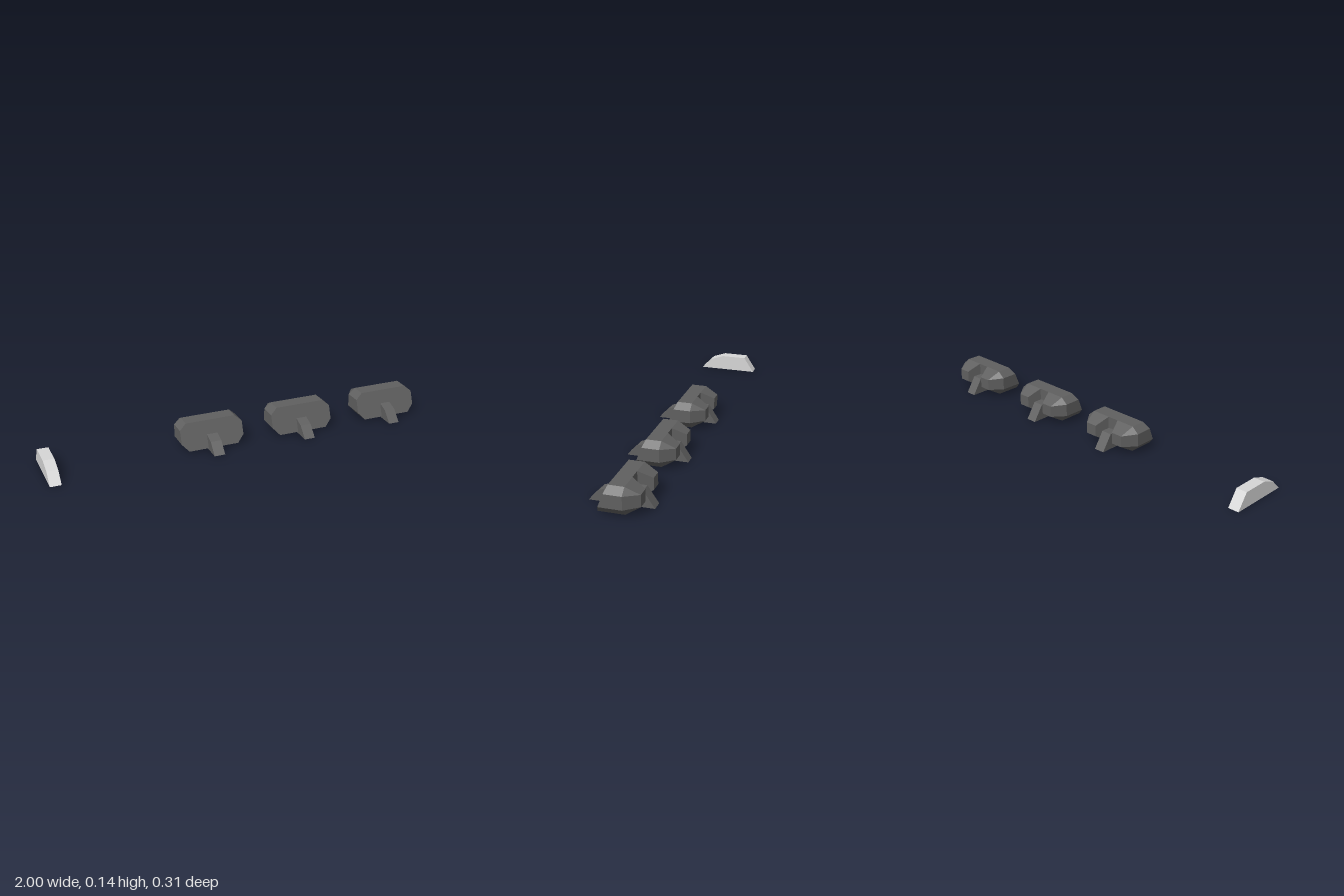
import * as THREE from 'three';

// Flat-shaded geometry from convex polygons, fan triangulated
function fromPolygons(polys) {
  const pos = [];
  for (const p of polys) {
    for (let i = 1; i < p.length - 1; i++) pos.push(...p[0], ...p[i], ...p[i + 1]);
  }
  const g = new THREE.BufferGeometry();
  g.setAttribute('position', new THREE.Float32BufferAttribute(pos, 3));
  g.computeVertexNormals();
  return g;
}

const mirrored = (poly) => poly.map(([x, y, z]) => [-x, y, z]).reverse();

// Low rail with sloped ends, open underneath
function railGeometry() {
  const w = 0.028;
  const profile = [[0.153, 0], [0.1, 0.055], [0.03, 0.08], [-0.1, 0.08], [-0.153, 0]];
  const side = profile.map(([z, y]) => [w, y, z]).reverse();
  const polys = [side, mirrored(side)];
  for (let i = 0; i < profile.length - 1; i++) {
    const [z0, y0] = profile[i], [z1, y1] = profile[i + 1];
    polys.push([[-w, y0, z0], [w, y0, z0], [w, y1, z1], [-w, y1, z1]]);
  }
  return fromPolygons(polys);
}

// Chamfered block: raked front, two tapered lobes at the back
function housingGeometry() {
  const section = [[0, 0.14], [0.03, 0.14], [0.13, 0.14], [0.165, 0.11],
    [0.165, 0.045], [0.13, 0.008], [0.03, 0.008], [0, 0.008]];
  const lobeEnd = [null, [0.055, 0.105], [0.115, 0.105], [0.115, 0.105],
    [0.115, 0.047], [0.115, 0.047], [0.055, 0.047]];
  const front = section.map(([x, y]) => [x, y, 0.076 - 0.386 * y]);
  const mid = section.map(([x, y]) => [x, y, -0.053]);
  const back = lobeEnd.map((p) => p && [...p, -0.12]);

  const half = [[...front].reverse()];
  for (let i = 0; i < 7; i++) half.push([front[i], front[i + 1], mid[i + 1], mid[i]]);
  // lobe walls, including the inner wall of the notch
  for (let i = 1; i <= 6; i++) {
    const j = i === 6 ? 1 : i + 1;
    const poly = [mid[i], mid[j], back[j]];
    if (i !== 2 && i !== 4) poly.push(back[i]);
    half.push(poly);
  }
  half.push([back[1], back[2], back[4], back[6]]); // lobe end
  half.push([mid[0], mid[1], mid[6], mid[7]]); // notch floor
  return fromPolygons([...half, ...half.map(mirrored)]);
}

export function createModel() {
  const dark = new THREE.MeshStandardMaterial({ color: 0x606060 });
  dark.name = 'dark grey';
  dark.side = THREE.DoubleSide;
  const light = new THREE.MeshStandardMaterial({ color: 0xd6d6d6 });
  light.name = 'light grey';
  light.side = THREE.DoubleSide;

  const model = new THREE.Group();
  const rail = railGeometry();
  const housing = housingGeometry();
  const add = (parent, geometry, material, name, x = 0) => {
    const mesh = new THREE.Mesh(geometry, material);
    mesh.name = name;
    mesh.position.x = x;
    parent.add(mesh);
  };

  // Single pale rail
  add(model, rail, light, 'paleRail', -0.972);

  // Three housings, each on its own rail
  for (let i = 0; i < 3; i++) {
    const unit = new THREE.Group();
    unit.name = `railUnit${i + 1}`;
    unit.position.x = -0.151 + i * 0.493;
    add(unit, rail, dark, 'rail');
    add(unit, housing, dark, 'housing');
    model.add(unit);
  }
  return model;
}
